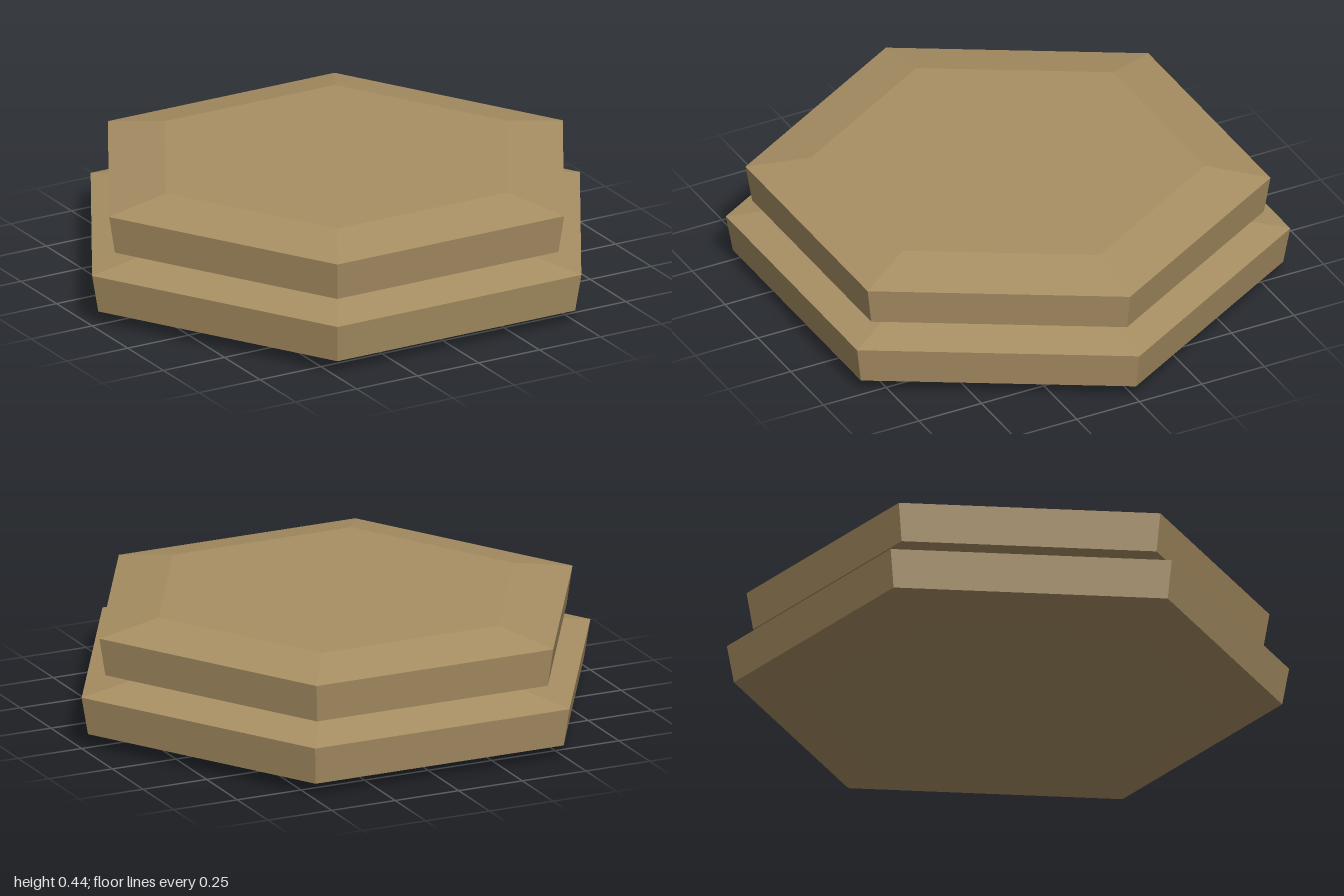
import * as THREE from 'three';

export function createModel() {
  const group = new THREE.Group();
  const stone = new THREE.MeshStandardMaterial({ color: 0xa88f63, flatShading: true });
  stone.name = 'sandstone';

  // Hexagonal slab with bevelled rims: profile runs from bottom centre to top centre
  const profile = [[0, 0], [0.77, 0], [0.975, 0.05], [1, 0.19], [0.75, 0.235], [0, 0.235]]
    .map(([r, y]) => new THREE.Vector2(r, y));
  const slabGeometry = new THREE.LatheGeometry(profile, 6, Math.PI / 2);

  function addSlab(name, y, spread) {
    const slab = new THREE.Mesh(slabGeometry, stone);
    slab.name = name;
    slab.position.y = y;
    slab.scale.set(spread, 1, spread);
    group.add(slab);
  }

  addSlab('lowerSlab', 0, 1);
  addSlab('upperSlab', 0.21, 0.93);
  return group;
}
